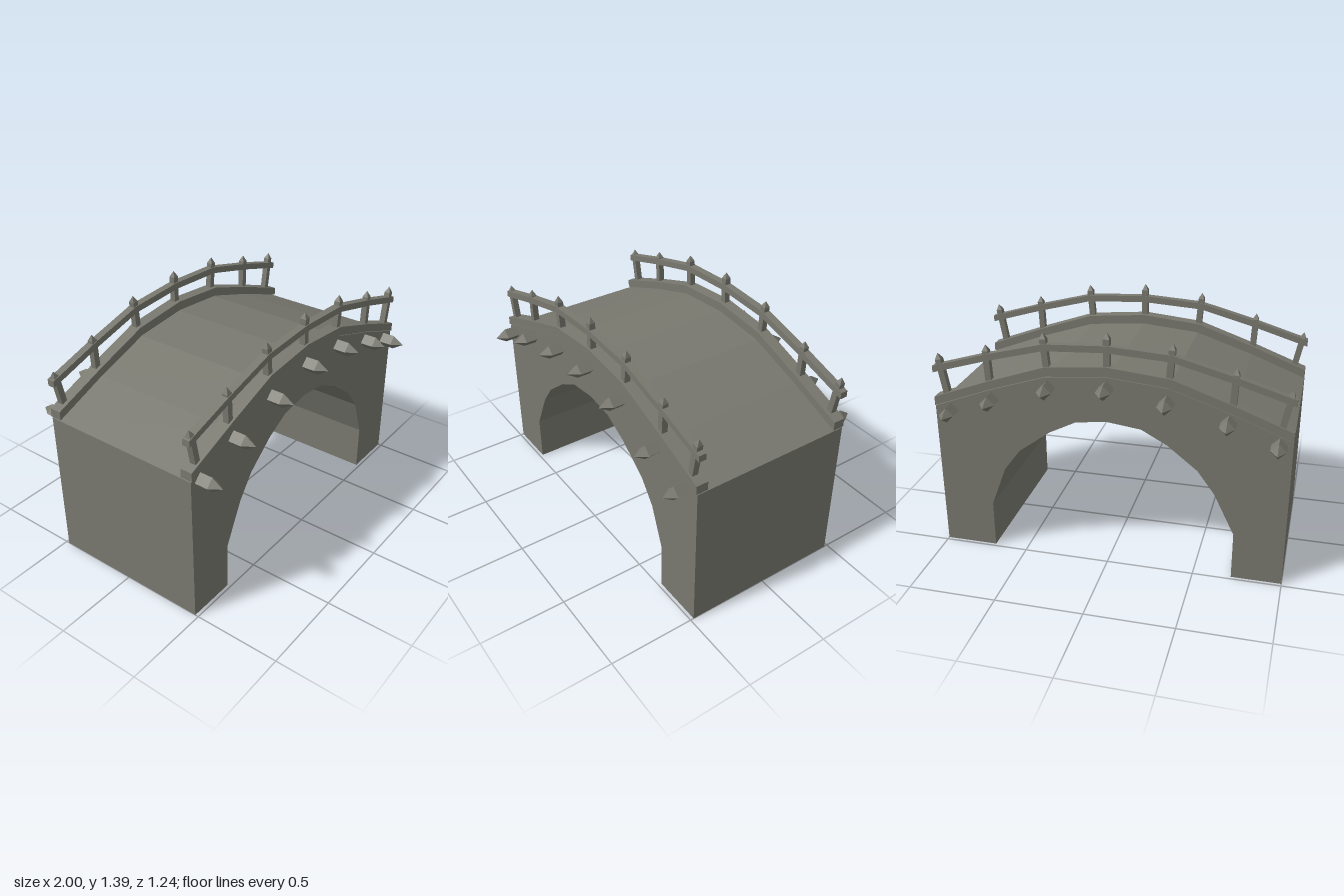
import * as THREE from 'three';

const stone = new THREE.MeshStandardMaterial({ color: 0x78786f });
stone.name = 'weathered grey';
stone.flatShading = true;

// Extrudes an x-y outline between two z positions
function slab(name, points, z0, z1) {
  const shape = new THREE.Shape(points.map(([x, y]) => new THREE.Vector2(x, y)));
  const geo = new THREE.ExtrudeGeometry(shape, { depth: z1 - z0, bevelEnabled: false });
  geo.translate(0, 0, z0);
  const mesh = new THREE.Mesh(geo, stone);
  mesh.name = name;
  return mesh;
}

// Outline of a band between an upper and a lower line
const band = (top, bottom) => [...bottom, ...[...top].reverse()];

// Square bar along +y from 0 with a pyramid tip; half is half its side
function pointedBar(name, half, shoulder, tip) {
  const group = new THREE.Group();
  group.name = name;
  const shaft = new THREE.Mesh(new THREE.BoxGeometry(half * 2, shoulder, half * 2), stone);
  shaft.name = name + 'Shaft';
  shaft.position.y = shoulder / 2;
  const capGeo = new THREE.ConeGeometry(half * Math.SQRT2, tip - shoulder, 4, 1, true);
  capGeo.rotateY(Math.PI / 4);
  const cap = new THREE.Mesh(capGeo, stone);
  cap.name = name + 'Tip';
  cap.position.y = (shoulder + tip) / 2;
  group.add(shaft, cap);
  return group;
}

export function createModel() {
  const bridge = new THREE.Group();
  bridge.name = 'archedBridge';

  // Solid body with the arch cut out below
  const deck = [[-1, 0.878], [-0.67, 1.005], [-0.335, 1.115], [0, 1.145], [0.335, 1.115], [0.67, 1.005], [1, 0.878]];
  const arch = [[-0.717, 0], [-0.717, 0.28], [-0.6, 0.52], [-0.505, 0.65], [-0.335, 0.785], [-0.19, 0.863],
    [0, 0.887], [0.175, 0.865], [0.33, 0.785], [0.51, 0.65], [0.607, 0.52], [0.697, 0.28], [0.697, 0]];
  bridge.add(slab('archBody', [[-1, 0], ...arch, [1, 0], ...[...deck].reverse()], -0.48, 0.48));

  // Curb and handrail lines
  const curbTop = [[-1, 0.935], [-0.67, 1.06], [-0.345, 1.172], [0, 1.205], [0.345, 1.172], [0.67, 1.06], [1, 0.935]];
  const curbBottom = deck.map(([x, y]) => [x, y + 0.006]);
  const railTop = [[-1, 1.117], [-0.68, 1.213], [-0.35, 1.3], [0, 1.32], [0.35, 1.3], [0.68, 1.213], [1, 1.117]];
  const railBottom = railTop.map(([x, y]) => [x, y - 0.038]);

  // Posts: base x, base y, tip x, tip y
  const posts = [[-0.935, 0.95, -0.977, 1.16], [-0.675, 1.05, -0.685, 1.255], [-0.337, 1.16, -0.352, 1.36],
    [0, 1.19, 0, 1.39], [0.335, 1.16, 0.353, 1.36], [0.672, 1.05, 0.682, 1.265], [0.928, 0.95, 0.97, 1.19]];
  // Beam ends: x, y
  const beams = [[-0.928, 0.857], [-0.66, 0.957], [-0.33, 1.037], [0, 1.085], [0.327, 1.055], [0.657, 0.952], [0.905, 0.86]];

  for (const side of [1, -1]) {
    const z = side * 0.457;
    const inner = side * 0.417, outer = side * 0.487;
    bridge.add(slab('curb', band(curbTop, curbBottom), Math.min(inner, outer), Math.max(inner, outer)));
    bridge.add(slab('handrail', band(railTop, railBottom), z - 0.022, z + 0.022));

    for (const [x0, y0, x1, y1] of posts) {
      const length = Math.hypot(x1 - x0, y1 - y0);
      const post = pointedBar('railPost', 0.0175, length - 0.035, length);
      post.position.set(x0, y0, z);
      post.rotation.z = -Math.atan2(x1 - x0, y1 - y0);
      bridge.add(post);
    }

    // Pointed beams set on edge, sticking out of the wall
    for (const [x, y] of beams) {
      const beam = pointedBar('beamEnd', 0.0305, 0.09, 0.155);
      beam.rotation.order = 'XYZ';
      beam.rotation.set(side * Math.PI / 2, Math.PI / 4, 0);
      beam.position.set(x, y, side * 0.465);
      bridge.add(beam);
    }
  }
  return bridge;
}
